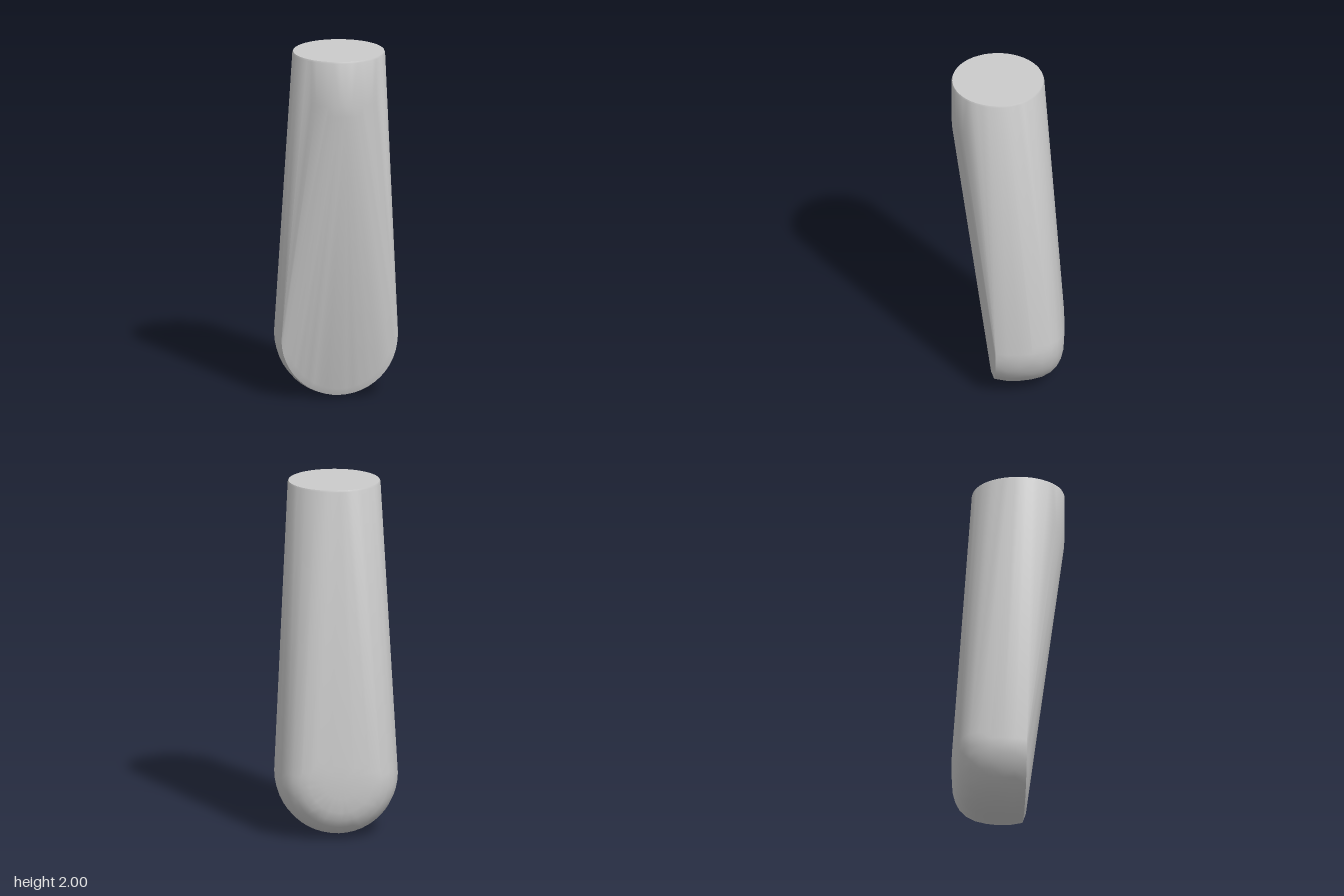
import * as THREE from 'three';
import { ConvexGeometry } from 'three/addons/geometries/ConvexGeometry.js';
import { toCreasedNormals } from 'three/addons/utils/BufferGeometryUtils.js';

const SEGMENTS = 48;

// Points of a circle, placed by a function of (cos, sin)
function ring(place, count = SEGMENTS) {
  return Array.from({ length: count }, (_, i) => {
    const a = (i / count) * Math.PI * 2;
    return place(Math.cos(a), Math.sin(a));
  });
}

export function createModel() {
  const points = [];

  // Round upper end: [height, radius], circles about a vertical axis
  const topZ = 0.055;
  const collar = [[2, 0.256], [1.99, 0.26], [1.74, 0.26], [1.68, 0.256]];
  for (const [y, r] of collar) {
    points.push(...ring((c, s) => new THREE.Vector3(r * c, y, topZ + r * s)));
  }

  // Domed lower end: [z, radius], circles about a front-to-back axis
  const baseY = 0.345;
  const dome = [
    [0.1, 0.29], [0.085, 0.329], [0.02, 0.342], [-0.05, 0.345], [-0.12, 0.339],
    [-0.18, 0.326], [-0.23, 0.302], [-0.265, 0.27], [-0.29, 0.228],
    [-0.305, 0.18], [-0.313, 0.1],
  ];
  for (const [z, r] of dome) {
    points.push(...ring((c, s) => new THREE.Vector3(r * c, baseY + r * s, z)));
  }
  points.push(new THREE.Vector3(0, baseY, -0.316));

  // The body is the taut skin stretched over both ends
  const geometry = toCreasedNormals(new ConvexGeometry(points), 0.42);
  const body = new THREE.Mesh(geometry, new THREE.MeshStandardMaterial({ color: 0xcccccc }));
  body.name = 'taperedBody';

  const model = new THREE.Group();
  model.name = 'taperedHandle';
  model.add(body);
  return model;
}
